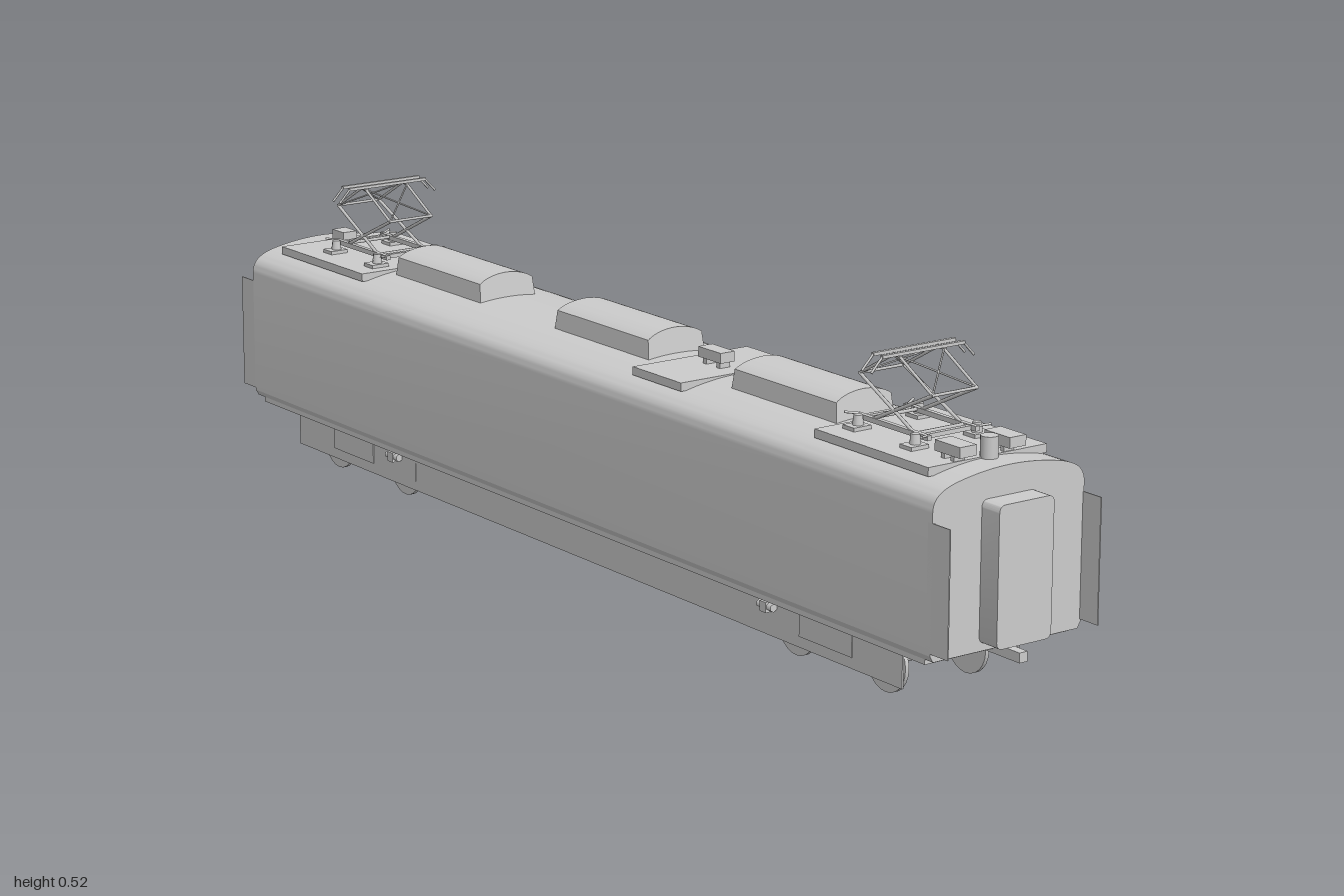
import * as THREE from 'three';
import { toCreasedNormals } from 'three/addons/utils/BufferGeometryUtils.js';

const grey = new THREE.MeshStandardMaterial({ color: 0xcccccc, side: THREE.DoubleSide });

function add(parent, name, geometry, x = 0, y = 0, z = 0) {
  const mesh = new THREE.Mesh(geometry, grey);
  mesh.name = name;
  mesh.position.set(x, y, z);
  parent.add(mesh);
  return mesh;
}

// Box given by its limits on each axis
function box(parent, name, x0, x1, y0, y1, z0, z1) {
  return add(parent, name, new THREE.BoxGeometry(x1 - x0, y1 - y0, z1 - z0),
    (x0 + x1) / 2, (y0 + y1) / 2, (z0 + z1) / 2);
}

// Thin round bar between two points
function rod(parent, name, a, b, radius = 0.002) {
  const p = new THREE.Vector3(...a), q = new THREE.Vector3(...b);
  const dir = q.clone().sub(p);
  const mesh = add(parent, name, new THREE.CylinderGeometry(radius, radius, dir.length(), 6));
  mesh.position.copy(p).add(q).multiplyScalar(0.5);
  mesh.quaternion.setFromUnitVectors(new THREE.Vector3(0, 1, 0), dir.normalize());
  return mesh;
}

// Shape extruded along z and centred on it
function prism(shape, length) {
  const g = new THREE.ExtrudeGeometry(shape, { depth: length, bevelEnabled: false, curveSegments: 10 });
  g.translate(0, 0, -length / 2);
  return g;
}

function bodyShape() {
  const s = new THREE.Shape();
  s.moveTo(-0.141, 0.106);
  s.lineTo(0.141, 0.106);
  s.lineTo(0.147, 0.116);
  s.lineTo(0.147, 0.335);
  s.bezierCurveTo(0.147, 0.358, 0.13, 0.367, 0.105, 0.374);
  s.bezierCurveTo(0.07, 0.382, 0.035, 0.386, 0, 0.386);
  s.bezierCurveTo(-0.035, 0.386, -0.07, 0.382, -0.105, 0.374);
  s.bezierCurveTo(-0.13, 0.367, -0.147, 0.358, -0.147, 0.335);
  s.lineTo(-0.147, 0.116);
  return s;
}

function gangwayShape() {
  const s = new THREE.Shape(), w = 0.053, r = 0.012, b = 0.118, t = 0.34;
  s.moveTo(-w + r, b);
  s.lineTo(w - r, b);
  s.quadraticCurveTo(w, b, w, b + r);
  s.lineTo(w, t - r);
  s.quadraticCurveTo(w, t, w - r, t);
  s.lineTo(-w + r, t);
  s.quadraticCurveTo(-w, t, -w, t - r);
  s.lineTo(-w, b + r);
  s.quadraticCurveTo(-w, b, -w + r, b);
  return s;
}

// Roof unit with an arched top and ends that lean inwards
function coolerGeometry() {
  const s = new THREE.Shape();
  s.moveTo(-0.057, 0.375);
  s.lineTo(0.057, 0.375);
  s.lineTo(0.054, 0.414);
  s.quadraticCurveTo(0.035, 0.427, 0, 0.428);
  s.quadraticCurveTo(-0.035, 0.427, -0.054, 0.414);
  const g = prism(s, 0.268), p = g.attributes.position;
  for (let i = 0; i < p.count; i++) p.setZ(i, p.getZ(i) * (1 - 1.1 * (p.getY(i) - 0.375)));
  return toCreasedNormals(g, 0.5);
}

function pantograph() {
  const g = new THREE.Group();
  g.name = 'pantograph';
  for (const s of [-1, 1]) {
    // Base frame on four insulators
    box(g, 'baseRail', s * 0.047 - 0.004, s * 0.047 + 0.004, 0.4, 0.408, -0.085, 0.085);
    box(g, 'baseCrossBar', -0.05, 0.05, 0.4, 0.407, s * 0.07 - 0.004, s * 0.07 + 0.004);
    for (const e of [-1, 1]) {
      box(g, 'insulatorPad', s * 0.062 - 0.017, s * 0.062 + 0.017, 0.386, 0.394, e * 0.068 - 0.014, e * 0.068 + 0.014);
      add(g, 'insulator', new THREE.CylinderGeometry(0.007, 0.009, 0.016, 8), s * 0.06, 0.402, e * 0.068);
      rod(g, 'cornerHorn', [s * 0.047, 0.407, e * 0.08], [s * 0.068, 0.41, e * 0.092]);
      // Crossing lower arms and converging upper arms
      rod(g, 'lowerArm', [s * 0.047, 0.402, -e * 0.055], [s * 0.043, 0.469, e * 0.086], 0.003);
      rod(g, 'upperArm', [s * 0.043, 0.469, e * 0.086], [s * 0.043, 0.513, e * 0.008], 0.0025);
    }
    rod(g, 'kneeBar', [-0.045, 0.469, s * 0.086], [0.045, 0.469, s * 0.086], 0.0025);
    rod(g, 'pivotShaft', [-0.05, 0.405, s * 0.055], [0.05, 0.405, s * 0.055], 0.003);
    for (const e of [-1, 1])
      rod(g, 'upperBrace', [-e * 0.043, 0.469, s * 0.086], [e * 0.043, 0.513, s * 0.008], 0.0015);
    // Contact bow with drooping horns
    box(g, 'contactStrip', -0.08, 0.08, 0.516, 0.521, s * 0.011 - 0.003, s * 0.011 + 0.003);
    for (const e of [-1, 1])
      rod(g, 'bowHorn', [e * 0.079, 0.518, s * 0.011], [e * 0.1, 0.496, s * 0.011]);
    rod(g, 'bowLink', [s * 0.043, 0.514, -0.011], [s * 0.043, 0.514, 0.011], 0.003);
  }
  return g;
}

function bogie() {
  const g = new THREE.Group();
  g.name = 'bogie';
  const wheelGeo = new THREE.CylinderGeometry(0.047, 0.047, 0.007, 24).rotateZ(Math.PI / 2);
  for (const z of [-0.11, 0.11]) {
    rod(g, 'axle', [-0.088, 0.047, z], [0.088, 0.047, z], 0.006);
    for (const s of [-1, 1]) add(g, 'wheel', wheelGeo, s * 0.079, 0.047, z);
  }
  return g;
}

export function createModel() {
  const model = new THREE.Group();
  model.name = 'railcar';

  add(model, 'body', toCreasedNormals(prism(bodyShape(), 1.92), 0.5));
  box(model, 'floorFrame', -0.14, 0.14, 0.097, 0.107, -0.94, 0.94);
  box(model, 'underfloorEquipment', -0.115, 0.115, 0.032, 0.1, -0.475, 0.475);

  const gangway = toCreasedNormals(prism(gangwayShape(), 0.045), 0.5);
  for (const e of [-1, 1]) {
    // Vehicle ends
    add(model, 'gangway', gangway, 0, 0, e * 0.9775);
    box(model, 'coupler', -0.008, 0.008, 0.09, 0.106, e * 0.945 - 0.055, e * 0.945 + 0.055);

    // Running gear behind thin skirts
    const truck = bogie();
    truck.position.z = e * 0.67;
    model.add(truck);
    box(model, 'bogieMount', -0.08, 0.08, 0.082, 0.1, e * 0.67 - 0.05, e * 0.67 + 0.05);
    for (const s of [-1, 1]) {
      box(model, 'endPanel', s * 0.146 - 0.001, s * 0.146 + 0.001, 0.12, 0.32, e * 0.975 - 0.025, e * 0.975 + 0.025);
      box(model, 'skirt', s * 0.114 - 0.0015, s * 0.114 + 0.0015, 0.032, 0.1, e * 0.667 - 0.192, e * 0.667 + 0.192);
      box(model, 'skirtCover', s * 0.115 - 0.002, s * 0.115 + 0.002, 0.05, 0.1, e * 0.675 - 0.065, e * 0.675 + 0.065);
      box(model, 'skirtBracket', s * 0.122 - 0.008, s * 0.122 + 0.008, 0.073, 0.09, e * 0.535 - 0.008, e * 0.535 + 0.008);
      rod(model, 'bracketCylinder', [s * 0.122, 0.082, e * 0.517], [s * 0.122, 0.082, e * 0.553], 0.007);
    }

    // Roof platform and current collector
    box(model, 'roofPlatform', -0.115, 0.115, 0.374, 0.388, e * 0.775 - 0.135, e * 0.775 + 0.135);
    const collector = pantograph();
    collector.position.z = e * 0.745;
    model.add(collector);
  }

  const cooler = coolerGeometry();
  for (const z of [-0.488, 0, 0.488]) add(model, 'roofCooler', cooler, 0, 0, z);

  // Small roof equipment
  box(model, 'middlePlatform', -0.115, 0.115, 0.374, 0.388, 0.17, 0.3);
  box(model, 'middleBox', -0.014, 0.014, 0.398, 0.415, 0.21, 0.27);
  for (const z of [0.222, 0.258]) box(model, 'middleBoxFoot', -0.01, 0.01, 0.386, 0.399, z - 0.005, z + 0.005);
  box(model, 'rearBox', -0.014, 0.014, 0.386, 0.409, -0.9, -0.862);
  for (const x of [-0.054, 0.042]) {
    box(model, 'frontBox', x - 0.016, x + 0.016, 0.398, 0.415, 0.87, 0.928);
    for (const z of [0.882, 0.904]) box(model, 'frontBoxFoot', x - 0.01, x + 0.01, 0.386, 0.399, z - 0.004, z + 0.004);
  }
  add(model, 'arrester', new THREE.CylinderGeometry(0.014, 0.014, 0.036, 16), 0, 0.402, 0.912);

  return model;
}
